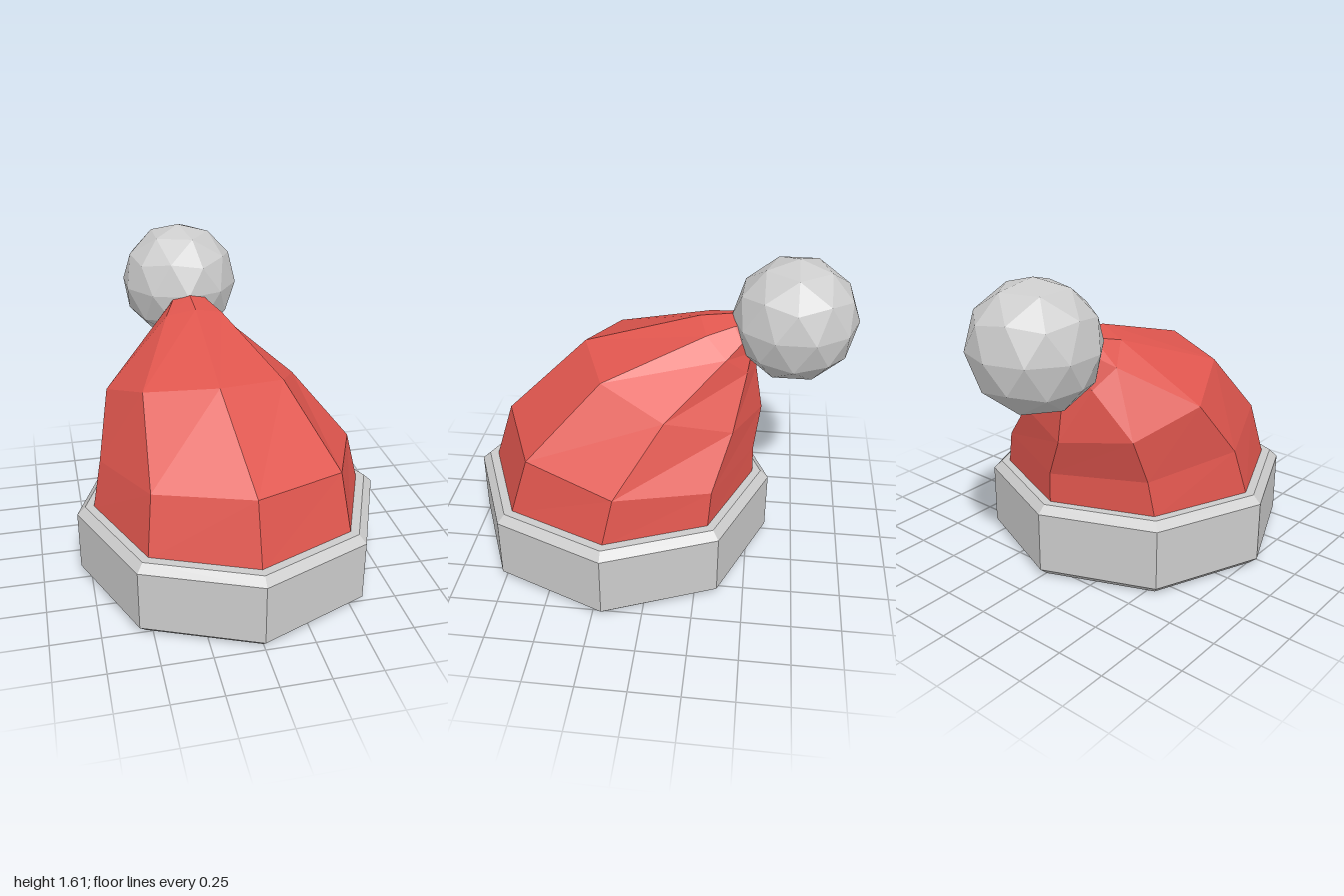
import * as THREE from 'three';

const SIDES = 8;

// Faceted surface through tilted elliptical rings: centre, x radius, z radius, rise towards the front
function loftRings(rings) {
  const positions = [];
  const index = [];
  for (const { centre: [cx, cy, cz], rx, rz, rise } of rings) {
    for (let i = 0; i < SIDES; i++) {
      const a = (i / SIDES) * Math.PI * 2;
      positions.push(cx + rx * Math.sin(a), cy + rise * Math.cos(a), cz + rz * Math.cos(a));
    }
  }
  for (let r = 0; r < rings.length - 1; r++) {
    for (let i = 0; i < SIDES; i++) {
      const j = (i + 1) % SIDES;
      const a = r * SIDES + i, b = r * SIDES + j;
      const c = a + SIDES, d = b + SIDES;
      index.push(a, b, d, a, d, c);
    }
  }
  // Close the tip
  const last = (rings.length - 1) * SIDES;
  for (let i = 1; i < SIDES - 1; i++) index.push(last, last + i, last + i + 1);
  const geometry = new THREE.BufferGeometry();
  geometry.setAttribute('position', new THREE.Float32BufferAttribute(positions, 3));
  geometry.setIndex(index);
  return geometry;
}

function addPart(group, name, geometry, material) {
  const flat = geometry.index ? geometry.toNonIndexed() : geometry;
  flat.computeVertexNormals();
  const mesh = new THREE.Mesh(flat, material);
  mesh.name = name;
  group.add(mesh);
  return mesh;
}

export function createModel() {
  const group = new THREE.Group();
  group.name = 'bobbleHat';
  const white = new THREE.MeshStandardMaterial({ color: 0xcccccc, flatShading: true });
  const red = new THREE.MeshStandardMaterial({ color: 0xe0564e, flatShading: true });

  // Octagonal brim with bevelled rims
  const profile = [[0, 0], [0.757, 0], [0.8, 0.04], [0.8, 0.36], [0.757, 0.4], [0, 0.4]]
    .map(([r, y]) => new THREE.Vector2(r, y));
  addPart(group, 'brim', new THREE.LatheGeometry(profile, SIDES), white).position.z = 0.2;

  // Cap that leans back and slightly sideways towards its tip
  const cap = loftRings([
    { centre: [0, 0.39, 0.2], rx: 0.713, rz: 0.713, rise: 0 },
    { centre: [0, 0.635, 0.15], rx: 0.663, rz: 0.66, rise: 0.08 },
    { centre: [-0.09, 0.93, -0.07], rx: 0.5, rz: 0.47, rise: 0.17 },
    { centre: [-0.09, 1.14, -0.35], rx: 0.21, rz: 0.15, rise: 0.14 },
    { centre: [-0.09, 1.2, -0.425], rx: 0.13, rz: 0.065, rise: 0.1 },
    { centre: [-0.09, 1.25, -0.56], rx: 0.1, rz: 0.05, rise: 0.08 },
  ]);
  addPart(group, 'cap', cap, red);

  // Pompom, turned so that one corner points straight up
  const golden = (1 + Math.sqrt(5)) / 2;
  const ball = new THREE.IcosahedronGeometry(0.32, 1);
  ball.rotateX(-Math.atan(golden)).rotateY(Math.PI / 2);
  addPart(group, 'pompom', ball, white).position.set(-0.095, 1.288, -0.68);

  return group;
}
